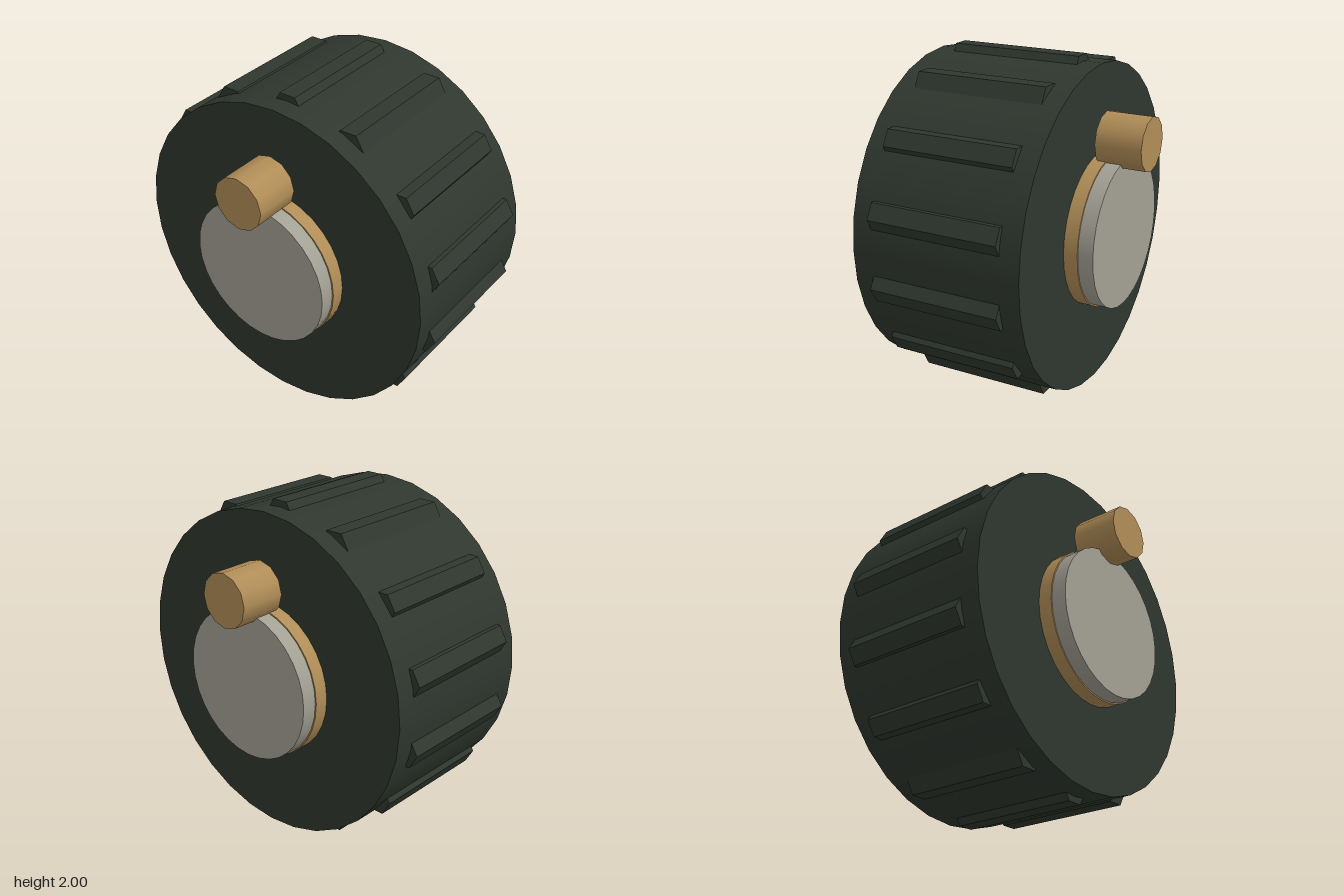
import * as THREE from 'three';

const rubber = new THREE.MeshStandardMaterial({ color: 0x2f372f });
rubber.name = 'dark green rubber';
const brass = new THREE.MeshStandardMaterial({ color: 0xb08d57 });
brass.name = 'brass';
const grey = new THREE.MeshStandardMaterial({ color: 0xa3a094 });
grey.name = 'warm grey';

// Cylinder lying along the x axis
function axle(name, radius, length, sides, material, x = 0, y = 0, z = 0) {
  const geometry = new THREE.CylinderGeometry(radius, radius, length, sides).rotateZ(Math.PI / 2);
  const mesh = new THREE.Mesh(geometry, material);
  mesh.name = name;
  mesh.position.set(x, y, z);
  return mesh;
}

export function createModel() {
  const model = new THREE.Group();
  model.name = 'wheel';
  const centre = 1;

  // Main drum with the stepped hub running through it
  model.add(axle('drum', 0.965, 1.035, 32, rubber, 0, centre));
  model.add(axle('hubRing', 0.455, 1.2, 32, brass, 0, centre));
  model.add(axle('hubCap', 0.447, 1.38, 32, grey, 0, centre));

  // Hexagonal tread bars, all keeping the same upright orientation
  const treads = new THREE.Group();
  treads.name = 'treads';
  const count = 14;
  const ring = 0.9134;
  for (let i = 0; i < count; i++) {
    const a = (i / count) * Math.PI * 2;
    const bar = axle('treadBar', 0.1, 0.794, 6, rubber, 0, centre + ring * Math.cos(a), ring * Math.sin(a));
    bar.geometry = bar.geometry.toNonIndexed();
    bar.geometry.computeVertexNormals();
    treads.add(bar);
  }
  model.add(treads);

  // Side pins above the hub
  for (const [name, s] of [['leftPin', 1], ['rightPin', -1]]) {
    model.add(axle(name, 0.158, 0.275, 12, brass, s * 0.69, 1.543));
  }
  return model;
}
